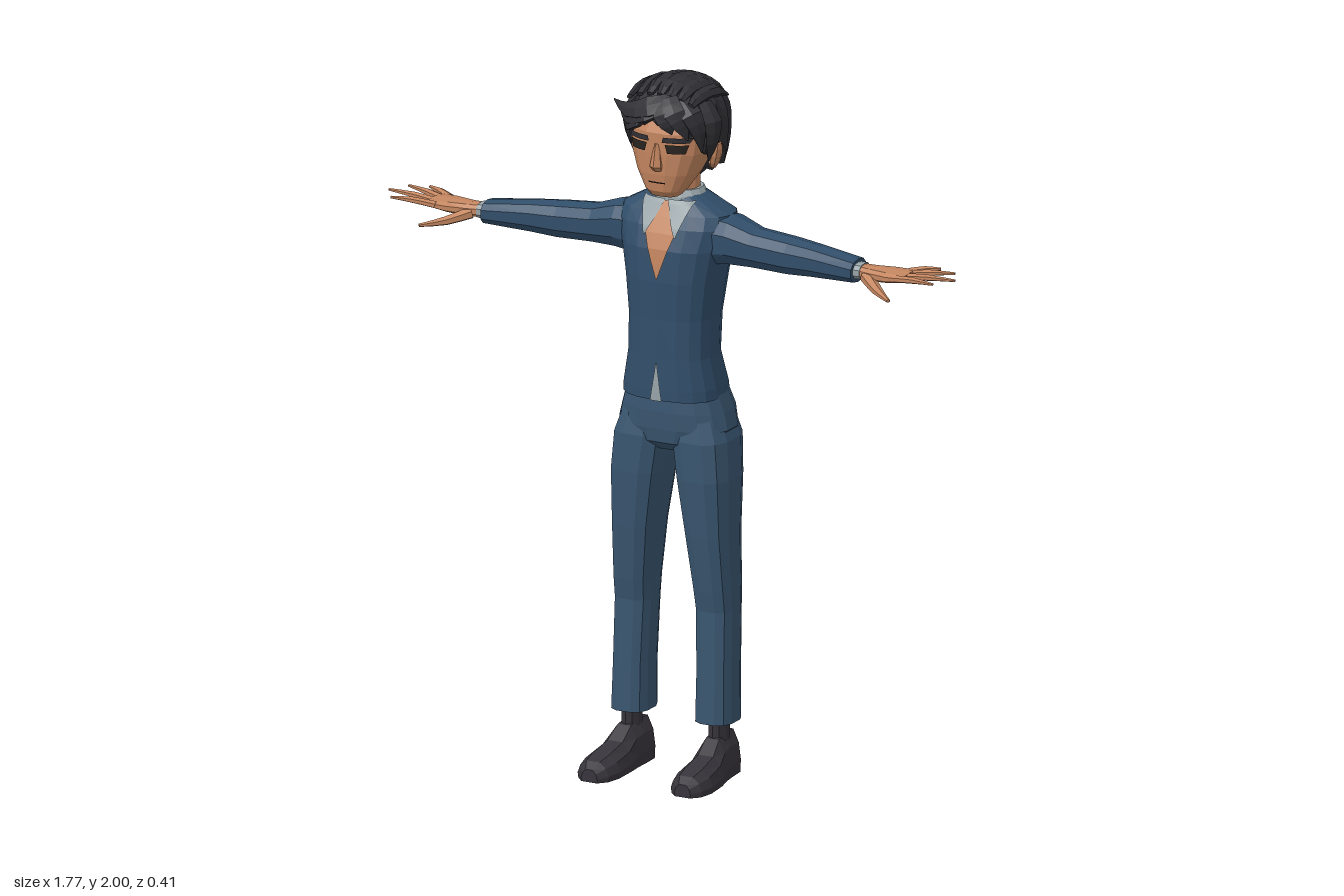
import * as THREE from 'three';

const paint = (name, color) => {
  const m = new THREE.MeshStandardMaterial({ color, flatShading: true });
  m.name = name;
  return m;
};
const V = (x, y, z) => new THREE.Vector3(x, y, z);

// Skins a list of equal-sized point rings, closes both ends and faces the result outwards
function loft(rings) {
  const n = rings[0].length, tris = [];
  const mid = r => r.reduce((a, p) => a.add(p), V(0, 0, 0)).divideScalar(n);
  for (let i = 0; i < rings.length - 1; i++)
    for (let j = 0; j < n; j++) {
      const k = (j + 1) % n, a = rings[i], b = rings[i + 1];
      tris.push([a[j], a[k], b[k]], [a[j], b[k], b[j]]);
    }
  const first = rings[0], last = rings[rings.length - 1], c0 = mid(first), c1 = mid(last);
  for (let j = 0; j < n; j++) {
    const k = (j + 1) % n;
    tris.push([first[k], first[j], c0], [last[j], last[k], c1]);
  }
  const origin = mid(rings[rings.length >> 1]);
  let volume = 0;
  for (const t of tris) {
    const [a, b, c] = t.map(p => p.clone().sub(origin));
    volume += a.dot(b.cross(c));
  }
  if (volume < 0) tris.forEach(t => t.reverse());
  const g = new THREE.BufferGeometry().setFromPoints(tris.flat());
  g.computeVertexNormals();
  return g;
}

// Rounded-box outline: n sides, exponent e
function outline(n, e, fn) {
  return Array.from({ length: n }, (_, i) => {
    const a = (i + 0.5) / n * Math.PI * 2, c = Math.cos(a), s = Math.sin(a);
    return fn(Math.sign(c) * Math.abs(c) ** (2 / e), Math.sign(s) * Math.abs(s) ** (2 / e));
  });
}

// Upright body from [y, xLeft, xRight, zFront, zBack]
const upright = (secs, n, e, s = 1) => loft(secs.map(([y, x0, x1, f, b]) =>
  outline(n, e, (u, v) => V(s * ((x0 + x1) / 2 + u * (x1 - x0) / 2), y, (f + b) / 2 + v * (f - b) / 2))));
const centred = secs => secs.map(([y, r, f, b]) => [y, -r, r, f, b]);

// Tapered flat strand through points; ref gives the direction of its thickness
function strand(points, widths, thick, ref, sides = 6) {
  const curve = new THREE.CatmullRomCurve3(points.map(p => V(...p))), steps = (points.length - 1) * 2, rings = [];
  for (let i = 0; i <= steps; i++) {
    const t = i / steps, p = curve.getPoint(t), tan = curve.getTangent(t);
    const side = tan.clone().cross(ref(p)).normalize(), up = side.clone().cross(tan);
    const f = t * (widths.length - 1), k = Math.min(Math.floor(f), widths.length - 2);
    const w = THREE.MathUtils.lerp(widths[k], widths[k + 1], f - k);
    rings.push(outline(sides, 2, (u, v) => p.clone().addScaledVector(side, u * w).addScaledVector(up, v * w * thick)));
  }
  return loft(rings);
}

// Thin panel lying on the front of a centred body; rows are [y, xLeft, xRight]
function panel(secs, e, rows, off) {
  const front = (x, y) => {
    let i = 0;
    while (i < secs.length - 2 && y > secs[i + 1][0]) i++;
    const t = (y - secs[i][0]) / (secs[i + 1][0] - secs[i][0]);
    const [, r, f, b] = secs[i].map((v, k) => THREE.MathUtils.lerp(v, secs[i + 1][k], t));
    return (f + b) / 2 + (f - b) / 2 * Math.max(0, 1 - Math.abs(x / r) ** e) ** (1 / e) + off;
  };
  const nu = 8, nv = 5 * (rows.length - 1), g = new THREE.PlaneGeometry(1, 1, nu, nv), p = g.attributes.position;
  for (let i = 0; i < p.count; i++) {
    const f = (p.getY(i) + 0.5) * (rows.length - 1), k = Math.min(Math.floor(f), rows.length - 2);
    const [y, a, b] = rows[k].map((v, c) => THREE.MathUtils.lerp(v, rows[k + 1][c], f - k));
    const x = THREE.MathUtils.lerp(a, b, p.getX(i) + 0.5);
    p.setXYZ(i, x, y, front(x, y));
  }
  g.computeVertexNormals();
  return g;
}

export function createModel() {
  const root = new THREE.Group();
  const jacketBlue = paint('jacketBlue', 0x314e6a), trouserBlue = paint('trouserBlue', 0x39556f);
  const skin = paint('skin', 0xc48660), hairBlack = paint('hairBlack', 0x303035);
  const shirtGrey = paint('shirtGrey', 0x98a4a8), shoeBlack = paint('shoeBlack', 0x37343b);
  const eyeDark = paint('eyeDark', 0x28231f);
  shirtGrey.side = eyeDark.side = THREE.DoubleSide;
  const add = (name, geo, mat) => {
    const m = new THREE.Mesh(geo, mat);
    m.name = name;
    root.add(m);
    return m;
  };

  // Jacket body with open neckline
  const torso = [[1.09, .145, .088, -.145], [1.12, .143, .088, -.14], [1.21, .126, .085, -.118], [1.32, .126, .083, -.13],
    [1.43, .138, .086, -.152], [1.52, .155, .08, -.158], [1.58, .17, .06, -.152], [1.615, .165, .04, -.14],
    [1.645, .11, .025, -.12], [1.665, .072, .012, -.105]];
  add('jacket', upright(centred(torso), 18, 2.6), jacketBlue);
  add('chest', panel(torso, 2.6, [[1.44, -.002, .002], [1.65, -.075, .075]], .005), skin);
  add('shirtTail', panel(torso, 2.6, [[1.09, -.018, .018], [1.2, -.001, .001]], .005), shirtGrey);
  add('shirtCollar', upright(centred([[1.63, .085, .025, -.115], [1.66, .078, .022, -.112], [1.678, .068, .012, -.106]]), 14, 2.2), shirtGrey);

  // Neck and head
  add('neck', upright(centred([[1.6, .062, .02, -.1], [1.68, .06, .01, -.1], [1.78, .06, .01, -.1]]), 12, 2), skin);
  const head = [[1.672, .042, .066, 0], [1.69, .058, .08, -.03], [1.74, .088, .087, -.075], [1.8, .112, .09, -.12],
    [1.86, .118, .09, -.15], [1.93, .1, .06, -.13]];
  add('head', upright(centred(head), 16, 2.5), skin);
  add('nose', upright(centred([[1.752, .016, .095, .06], [1.765, .02, .108, .06], [1.83, .009, .094, .06]]), 6, 2), skin);
  add('mouth', panel(head, 2.5, [[1.716, -.026, .026], [1.72, -.026, .026]], .004), eyeDark);

  // Trouser seat
  add('trouserSeat', upright(centred([[.935, .06, .035, -.09], [.96, .13, .06, -.135], [1.0, .172, .066, -.148], [1.05, .16, .068, -.155],
    [1.12, .138, .062, -.13]]), 16, 2.6), trouserBlue);

  const up = () => V(0, 1, 0);
  for (const s of [1, -1]) {
    const tag = s > 0 ? 'left' : 'right';
    const span = (a, b) => s > 0 ? [a, b] : [-b, -a];

    // Collar flap, eye, brow and ear
    add(tag + 'CollarFlap', panel(torso, 2.6, [[1.56, ...span(.046, .05)], [1.6, ...span(.026, .062)], [1.655, ...span(.004, .08)]], .009), shirtGrey);
    add(tag + 'Eye', panel(head, 2.5, [[1.807, ...span(.035, .082)], [1.832, ...span(.028, .09)]], .004), eyeDark);
    add(tag + 'Brow', panel(head, 2.5, [[1.838, ...span(.02, .092)], [1.853, ...span(.024, .1)]], .006), hairBlack);
    const ear = add(tag + 'Ear', new THREE.SphereGeometry(1, 8, 6), skin);
    ear.scale.set(.016, .042, .026);
    ear.position.set(s * .121, 1.785, -.03);
    ear.rotation.z = -s * .2;

    // Sleeve: [x, yLow, yHigh, zBack, zFront]
    const limb = (secs, n) => loft(secs.map(([x, y0, y1, b, f]) =>
      outline(n, 2.4, (u, v) => V(s * x, (y0 + y1) / 2 + v * (y1 - y0) / 2, (b + f) / 2 + u * (f - b) / 2))));
    add(tag + 'Sleeve', limb([[.1, 1.46, 1.625, -.12, .03], [.175, 1.475, 1.615, -.115, .03], [.25, 1.478, 1.59, -.095, .022],
      [.36, 1.475, 1.58, -.092, .02], [.44, 1.482, 1.574, -.075, .024], [.58, 1.492, 1.558, -.055, .038]], 10), jacketBlue);
    add(tag + 'ShirtCuff', limb([[.56, 1.502, 1.55, -.042, .026], [.6, 1.504, 1.549, -.04, .025]], 10), shirtGrey);

    // Hand with four fingers and thumb
    add(tag + 'Palm', limb([[.58, 1.507, 1.546, -.034, .02], [.63, 1.505, 1.546, -.038, .03], [.69, 1.512, 1.546, -.054, .046],
      [.745, 1.522, 1.544, -.056, .046]], 10), skin);
    const fingers = [[-.045, -.08, .8], [-.02, -.06, .855], [.008, -.002, .886], [.034, .058, .848]];
    fingers.forEach(([z0, z1, tip], i) => add(tag + 'Finger' + (i + 1),
      strand([[s * .72, 1.532, z0], [s * (.72 + tip) / 2, 1.54, (z0 + z1) / 2], [s * tip, 1.542, z1]], [.014, .012, .005], .75, up), skin));
    add(tag + 'Thumb', strand([[s * .62, 1.52, .015], [s * .675, 1.5, .06], [s * .735, 1.49, .105]], [.022, .016, .006], .8, up), skin);

    // Trouser leg, sock and shoe
    add(tag + 'TrouserLeg', upright([[.16, .075, .188, .04, -.092], [.3, .076, .185, .034, -.095], [.48, .07, .184, .026, -.102],
      [.54, .066, .184, .036, -.106], [.7, .047, .182, .055, -.112], [.86, .022, .184, .066, -.128], [.97, .006, .176, .064, -.142],
      [1.04, .01, .15, .05, -.13]], 12, 2.8, s), trouserBlue);
    add(tag + 'Sock', upright([[.08, .108, .165, .016, -.06], [.22, .108, .165, .016, -.06]], 10, 2, s), shoeBlack);
    const half = [[1, 0], [1.05, .3], [.88, .7], [.45, 1]];
    const shoe = [[-.09, .026, .11, .134], [-.075, .04, .122, .134], [-.02, .043, .124, .135], [.02, .045, .115, .138],
      [.065, .052, .08, .142], [.14, .056, .064, .145], [.185, .046, .054, .146], [.208, .024, .036, .146]];
    add(tag + 'Shoe', loft(shoe.map(([z, w, h, cx]) =>
      [...half, ...half.map(([u, v]) => [-u, v]).reverse()].map(([u, v]) => V(s * cx + u * w, v * h, z)))), shoeBlack);
  }

  // Hair cap: ridged dome whose lower edge follows the hairline
  const hairline = [[0, 1.905], [.55, 1.89], [.9, 1.83], [1.2, 1.79], [1.5, 1.82], [1.8, 1.79], [2.2, 1.73], [2.7, 1.7], [3.2, 1.695]];
  const edge = a => {
    const i = Math.max(1, hairline.findIndex(h => h[0] >= a)), [a0, y0] = hairline[i - 1], [a1, y1] = hairline[i];
    return THREE.MathUtils.lerp(y0, y1, (a - a0) / (a1 - a0));
  };
  const cols = 36, domes = [];
  for (let k = 0; k <= 10; k++)
    domes.push(Array.from({ length: cols }, (_, j) => {
      const a = j / cols * Math.PI * 2, away = Math.min(a, Math.PI * 2 - a);
      const low = edge(away) - (j % 2 ? 0 : .012), v = .03 + .97 * k / 10;
      const y = 1.995 - (1.995 - low) * v ** 1.7, h = (y - 1.865) / .13;
      let r = h > 0 ? Math.max(0, 1 - h ** 2.4) ** (1 / 2.2) : 1 - .5 * (-h * .13 / .17) ** 2 * Math.max(.25, -Math.cos(a));
      r *= j % 2 ? .955 : 1.01;
      return V(Math.sin(a) * r * .136, y, -.052 + Math.cos(a) * r * .15);
    }));
  add('hairCap', loft(domes), hairBlack);

  // Loose locks: swept fringe, parting and temples
  const out = p => p.clone().sub(V(0, 1.84, -.05));
  const locks = [
    [[.05, 1.955, .06], [-.02, 1.935, .098], [-.09, 1.915, .085], [-.156, 1.925, .045]],
    [[.04, 1.95, .07], [-.03, 1.92, .1], [-.09, 1.895, .082], [-.138, 1.895, .04]],
    [[-.01, 1.94, .08], [-.06, 1.9, .094], [-.1, 1.87, .07], [-.118, 1.84, .04]],
    [[.03, 1.96, .07], [.06, 1.925, .094], [.08, 1.89, .09], [.094, 1.85, .08]],
    [[.05, 1.96, .05], [.1, 1.92, .07], [.117, 1.87, .06], [.119, 1.81, .045]],
    [[.02, 1.95, .08], [.03, 1.92, .1], [.045, 1.89, .1], [.052, 1.866, .096]],
    [[.1, 1.94, 0], [.132, 1.89, .01], [.13, 1.83, .01], [.118, 1.775, .005]],
    [[-.1, 1.94, 0], [-.132, 1.89, .01], [-.13, 1.83, .01], [-.118, 1.775, .005]],
  ];
  locks.forEach((pts, i) => add('hairLock' + (i + 1), strand(pts, [.026, .034, .024, .002], .4, out), hairBlack));
  for (let i = -3; i <= 3; i++) {
    const x = i * .032;
    add('crownLock' + (i + 4), strand([[x, 1.965 - x * x * 2, .065], [x, 1.988 - x * x * 3, .02], [x * 1.05, 1.985 - x * x * 3, -.07],
      [x * 1.1, 1.93, -.165 + x * x * 4]], [.012, .02, .022, .006], .55, out), hairBlack);
  }
  return root;
}
